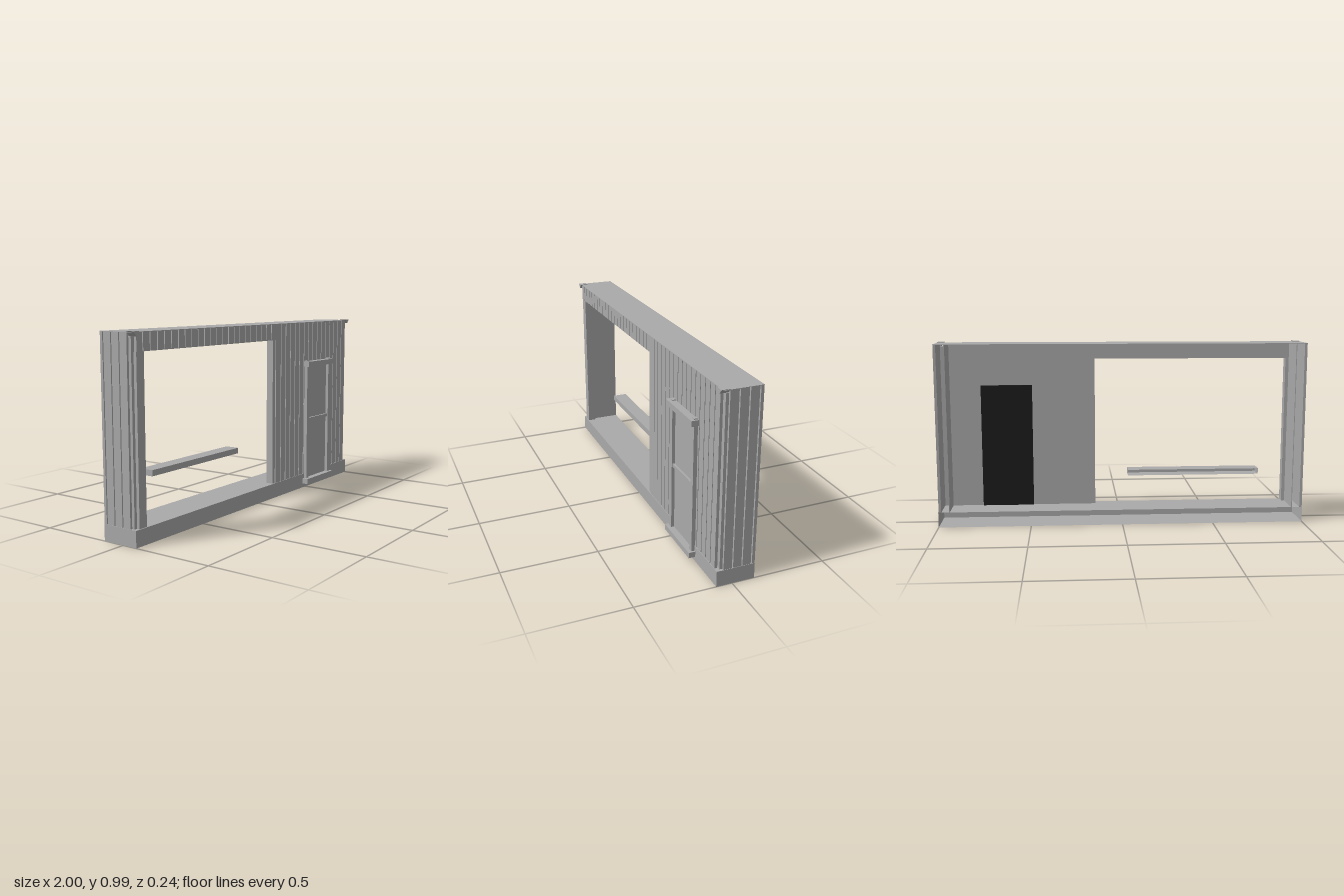
import * as THREE from 'three';

export function createModel() {
  const root = new THREE.Group();
  const grey = new THREE.MeshStandardMaterial({ color: 0xaaaaaa, side: THREE.DoubleSide });
  grey.name = 'grey metal';
  const black = new THREE.MeshStandardMaterial({ color: 0x1b1b1b });
  black.name = 'black panel';

  const add = (name, geo, mat = grey) => {
    const mesh = new THREE.Mesh(geo, mat);
    mesh.name = name;
    root.add(mesh);
    return mesh;
  };
  const boxGeo = (x0, x1, y0, y1, z0, z1) =>
    new THREE.BoxGeometry(x1 - x0, y1 - y0, z1 - z0)
      .translate((x0 + x1) / 2, (y0 + y1) / 2, (z0 + z1) / 2);
  const box = (name, b, mat) => add(name, boxGeo(...b), mat);

  // Box without its back face
  const openBox = (name, b) => {
    const geo = boxGeo(...b);
    geo.setIndex([...geo.index.array].slice(0, 30));
    geo.clearGroups();
    return add(name, geo);
  };

  // Upright sheet from a to b with narrow grooves in its outer face (+y of the profile)
  const grooved = (a, b, grooves, y0, y1) => {
    const depth = 0.011, half = 0.003, thick = 0.014;
    const s = new THREE.Shape();
    s.moveTo(a, -thick);
    s.lineTo(b, -thick);
    s.lineTo(b, 0);
    [...grooves].reverse().forEach((g) => {
      s.lineTo(g + half, 0);
      s.lineTo(g + half, -depth);
      s.lineTo(g - half, -depth);
      s.lineTo(g - half, 0);
    });
    s.lineTo(a, 0);
    s.closePath();
    // Profile plane becomes x/z with the outer face towards +z
    return new THREE.ExtrudeGeometry(s, { depth: y1 - y0, bevelEnabled: false })
      .rotateX(Math.PI / 2).translate(0, y1, 0);
  };
  const steps = (from, to) => {
    const list = [];
    for (let x = from; x < to; x += 0.05) list.push(x);
    return list;
  };

  const floorY = 0.083, topY = 0.99, frontZ = 0.08, innerZ = 0.035, backZ = -0.118;

  // Plinth and roof sheet
  openBox('plinth', [-1, 1, 0, floorY, backZ, 0.083]);
  box('roof', [-1, 1, topY - 0.003, topY, backZ, frontZ]);

  // Grooved front cladding: wall on the left, header above the opening
  add('frontWall', grooved(0.17, 0.97, steps(0.222, 0.96), floorY, topY)).position.z = frontZ;
  add('header', grooved(-0.97, 0.17, steps(-0.928, 0.16), 0.9, topY)).position.z = frontZ;

  // Inner lining and reveals around the opening
  box('wallLining', [0.145, 0.94, floorY, topY, innerZ, innerZ + 0.004]);
  box('headerLining', [-0.94, 0.145, 0.9, topY, innerZ, innerZ + 0.004]);
  box('headerReveal', [-0.94, 0.17, 0.9, 0.904, innerZ, frontZ - 0.002]);
  box('openingJamb', [0.145, 0.17, floorY, 0.9, innerZ, frontZ - 0.005]);
  box('openingPost', [-0.97, -0.92, floorY, 0.9, innerZ, frontZ - 0.002]);

  // Hollow end walls, corner posts and corner wedges
  const wedge = new THREE.Shape([
    new THREE.Vector2(0.962, 0.993), new THREE.Vector2(0.98, 0.97), new THREE.Vector2(1, 0.993),
  ]);
  for (const s of [1, -1]) {
    const side = add('endWall', grooved(-0.047, 0.118, [0, 0.05, 0.1], floorY, topY));
    side.rotation.y = Math.PI / 2;
    side.position.x = 0.998;
    const holder = new THREE.Group();
    holder.name = s > 0 ? 'leftEnd' : 'rightEnd';
    holder.add(side);
    holder.add(box('endLining', [0.938, 0.942, floorY, topY, backZ, innerZ]));
    holder.add(box('cornerPost', [0.962, 0.986, floorY, 0.97, 0.038, 0.062]));
    const w = add('cornerWedge', new THREE.ExtrudeGeometry(wedge, { depth: 0.044, bevelEnabled: false }));
    w.position.z = 0.047;
    holder.add(w);
    holder.scale.x = s;
    root.add(holder);
  }

  // Counter shelf in the opening
  openBox('shelf', [-0.745, -0.03, 0.275, 0.306, backZ, -0.04]);

  // Door: face, stiles, rails, middle bar and the dark panel inside
  box('doorFace', [0.505, 0.73, 0.055, 0.73, 0.078, 0.0835]);
  for (const x of [0.48, 0.73]) box('doorStile', [x, x + 0.025, 0.02, 0.765, frontZ, 0.1]);
  for (const y of [0.025, 0.73]) box('doorRail', [0.465, 0.765, y, y + 0.03, frontZ, 0.118]);
  box('doorMiddleBar', [0.505, 0.73, 0.403, 0.42, frontZ, 0.095]);
  box('doorInnerPanel', [0.49, 0.77, floorY, 0.757, innerZ - 0.008, innerZ], black);

  return root;
}
